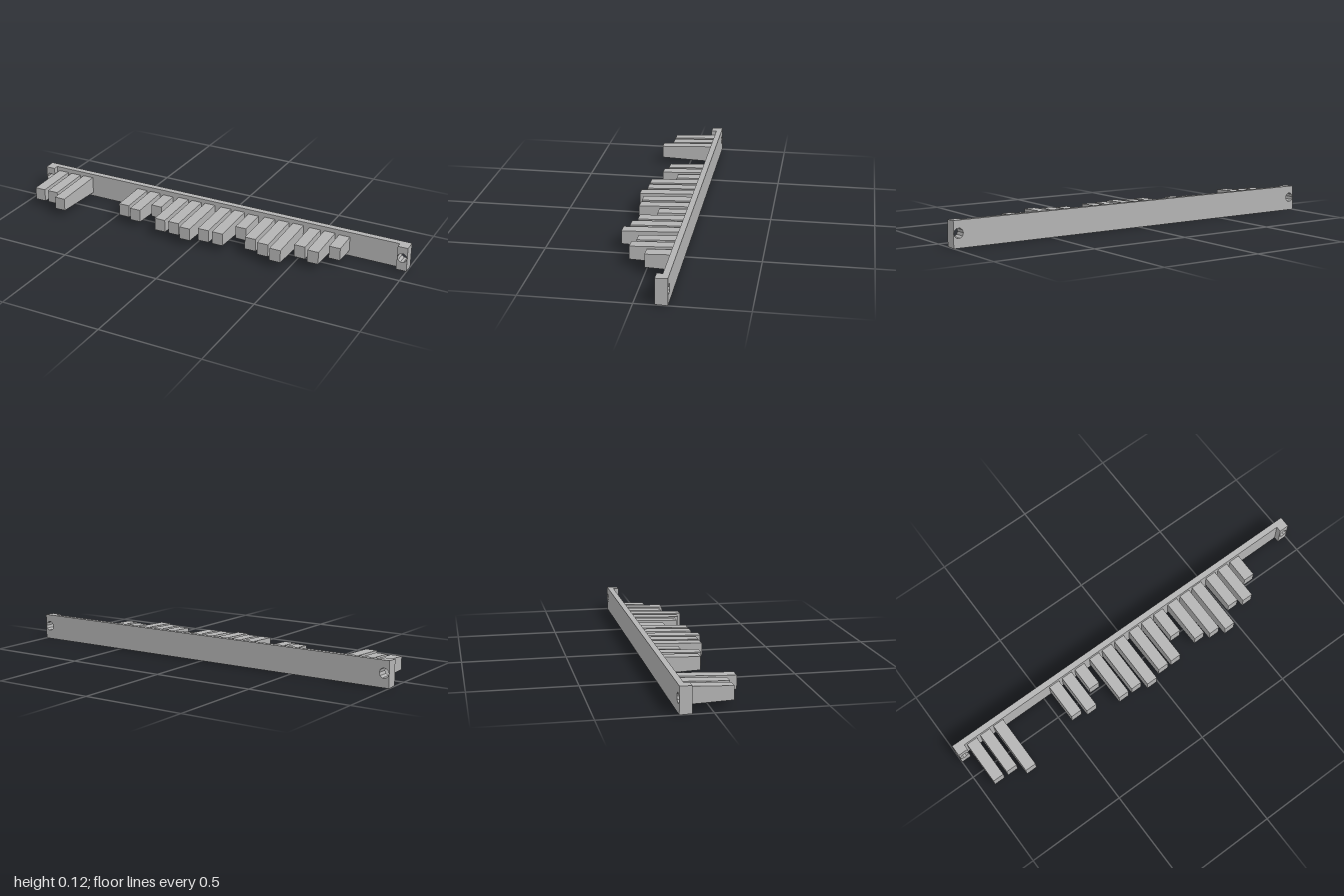
import * as THREE from 'three';

const MID_Y = 0.0635;   // shared horizontal centre line
const BACK = -0.149;
const PLATE_FRONT = -0.12;
const DRAFT = 0.04;     // moulding taper, above and below, per unit of depth

// Prism along x whose top and bottom draw in towards the front
function draftedBar(width, zBack, zFront, halfBack, halfFront) {
  const s = new THREE.Shape();
  s.moveTo(-zBack, -halfBack);
  s.lineTo(-zBack, halfBack);
  s.lineTo(-zFront, halfFront);
  s.lineTo(-zFront, -halfFront);
  const g = new THREE.ExtrudeGeometry(s, { depth: width, bevelEnabled: false });
  g.translate(0, 0, -width / 2);
  g.rotateY(Math.PI / 2); // shape x becomes -z, extrusion becomes x
  return g;
}

// Drafted end block with a screw hole through it
function endBlock(width, depth, half) {
  const s = new THREE.Shape();
  s.moveTo(-width / 2, -half);
  s.lineTo(width / 2, -half);
  s.lineTo(width / 2, half);
  s.lineTo(-width / 2, half);
  const hole = new THREE.Path();
  hole.absarc(0, 0.004, 0.0235, 0, Math.PI * 2, true);
  s.holes.push(hole);
  const g = new THREE.ExtrudeGeometry(s, { depth, bevelEnabled: false, curveSegments: 5 });
  const p = g.attributes.position;
  for (let i = 0; i < p.count; i++) {
    if (Math.abs(p.getY(i)) > half * 0.9) {
      p.setY(i, Math.sign(p.getY(i)) * (half - DRAFT * p.getZ(i)));
    }
  }
  g.computeVertexNormals();
  return g;
}

export function createModel() {
  const group = new THREE.Group();
  const grey = new THREE.MeshStandardMaterial({ color: 0xb4b4b4 });
  grey.name = 'grey plastic';

  const add = (geometry, name, x, y, z) => {
    const mesh = new THREE.Mesh(geometry, grey);
    mesh.name = name;
    mesh.position.set(x, y, z);
    group.add(mesh);
  };

  // Back plate between the end blocks
  const half = 0.0625;
  const plateDepth = PLATE_FRONT - BACK;
  add(draftedBar(1.9, BACK, PLATE_FRONT, half, half - DRAFT * plateDepth), 'backPlate', 0, MID_Y, 0);

  // Mounting blocks at both ends
  for (const side of [-1, 1]) {
    add(endBlock(0.05, 0.056, half), side > 0 ? 'leftEndBlock' : 'rightEndBlock', side * 0.975, MID_Y, BACK);
  }

  // Pegs in groups of three, given by slot and the z of each tip
  const pegGroups = [
    [0, [0.1, 0.1, 0.149]],
    [2, [0.063, 0.083, 0.001]],
    [3, [0.123, 0.123, 0.149]],
    [4, [0.123, 0.123, -0.001 + 0.022]],
    [5, [0.1, 0.123, 0.149]],
    [6, [0.063, 0.083, 0.001]],
  ];
  const tipHalf = 0.0315;
  for (const [slot, tips] of pegGroups) {
    tips.forEach((tip, i) => {
      const rootHalf = tipHalf + DRAFT * (tip - PLATE_FRONT);
      const x = -0.834 + slot * 0.2392 + (i - 1) * 0.0755;
      add(draftedBar(0.056, PLATE_FRONT, tip, rootHalf, tipHalf), 'peg', x, MID_Y, 0);
    });
  }

  return group;
}
